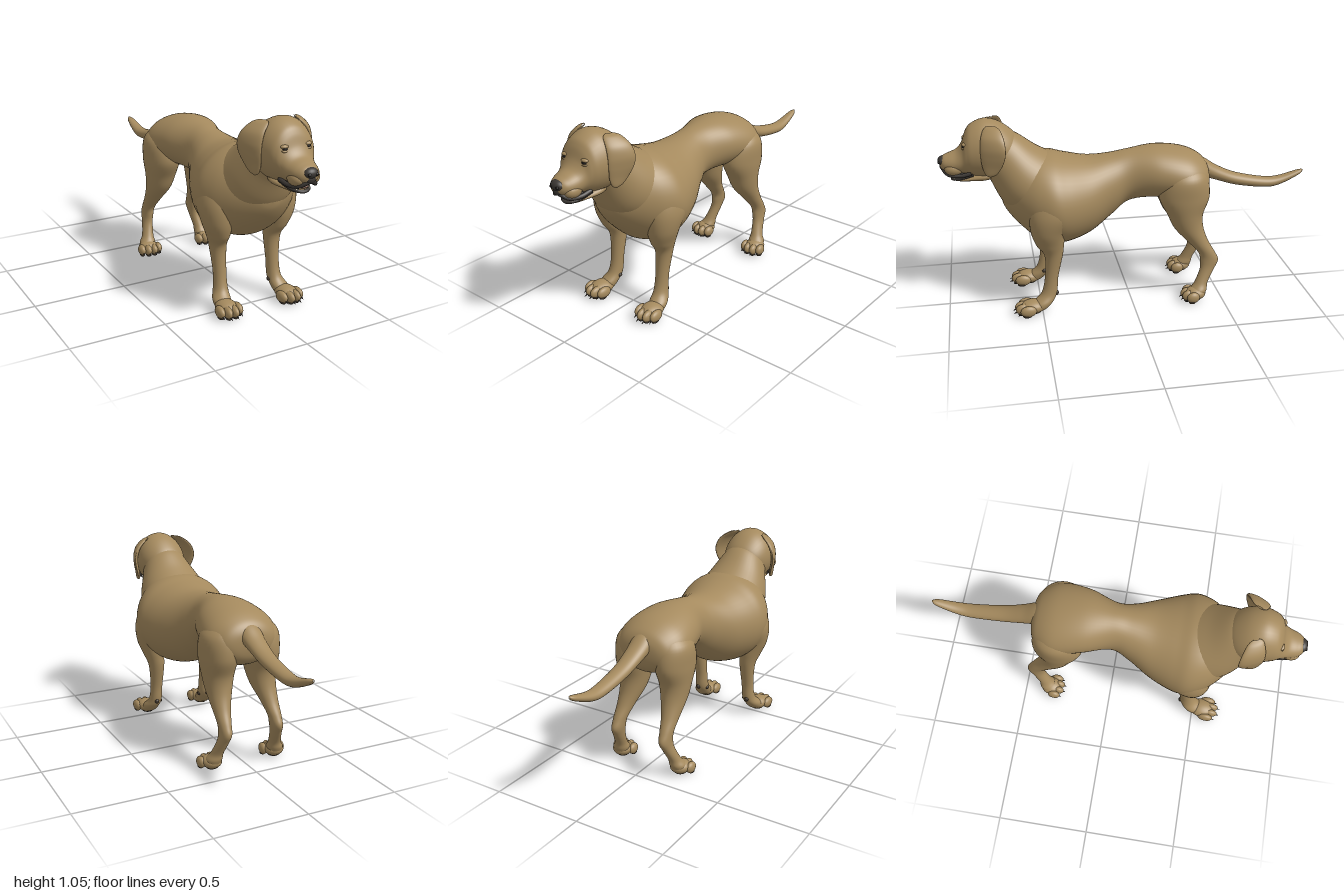
import * as THREE from 'three';

const mat = (name, color) => {
  const m = new THREE.MeshStandardMaterial({ color });
  m.name = name;
  return m;
};

// Smooth skin through elliptical sections [x, y, z, halfWidth, halfDepth, skew].
// tilt turns the depth axis from +y (0) towards +z (PI / 2).
function loft(stations, tilt = 0, sides = 36, steps = 7) {
  const pos = [], index = [], rows = (stations.length - 1) * steps;
  const at = (i, k) => stations[Math.min(Math.max(i, 0), stations.length - 1)][k] ?? 0;
  for (let r = 0; r <= rows; r++) {
    const i = Math.min(Math.floor(r / steps), stations.length - 2), t = r / steps - i;
    const [x, y, z, a, b, skew] = [0, 1, 2, 3, 4, 5].map((k) => {
      const p = at(i - 1, k), q = at(i, k), u = at(i + 1, k), v = at(i + 2, k);
      return q + 0.5 * t * (u - p + t * (2 * p - 5 * q + 4 * u - v + t * (3 * (q - u) + v - p)));
    });
    for (let j = 0; j < sides; j++) {
      const w = (j / sides) * Math.PI * 2;
      const d = Math.max(b, 0.001) * Math.sin(w);
      pos.push(x + Math.max(a, 0.001) * Math.cos(w) + skew * d, y + d * Math.cos(tilt), z + d * Math.sin(tilt));
      if (r < rows) {
        const p = r * sides + j, q = r * sides + (j + 1) % sides;
        index.push(p, q, q + sides, p, q + sides, p + sides);
      }
    }
  }
  const g = new THREE.BufferGeometry();
  g.setAttribute('position', new THREE.Float32BufferAttribute(pos, 3));
  g.setIndex(index);
  g.computeVertexNormals();
  return g;
}

// Sections given as [z, top, bottom, halfWidth]
const profile = (rows) => rows.map(([z, top, bot, w]) => [0, (top + bot) / 2, z, w, (top - bot) / 2]);
// Sections reflected to the chosen side
const sided = (rows, s) => rows.map(([x, y, z, a, b, k = 0]) => [s * x, y, z, a, b, s * k]);

export function createModel() {
  const dog = new THREE.Group();
  dog.name = 'dog';
  const fur = mat('tan fur', 0xa58a5e);
  const dark = mat('dark nose and lips', 0x3b3733);
  const claw = mat('claws and pads', 0x40362c);
  const pink = mat('tongue', 0x8c6a5c);
  const ivory = mat('teeth', 0xcfc4a8);
  const black = mat('pupils and nostrils', 0x1d1a18);

  const add = (name, geo, material, parent = dog) => {
    const m = new THREE.Mesh(geo, material);
    m.name = name;
    parent.add(m);
    return m;
  };
  const ball = (name, material, p, r, parent = dog) => {
    const m = add(name, new THREE.SphereGeometry(1, 20, 14), material, parent);
    m.position.set(...p);
    m.scale.set(...r);
    return m;
  };
  const tube = (name, points, radius, material) => add(name, new THREE.TubeGeometry(
    new THREE.CatmullRomCurve3(points.map((p) => new THREE.Vector3(...p))), 32, radius, 8), material);

  // Trunk, neck and tail
  add('torso', loft(profile([
    [-0.445, 0.70, 0.66, 0.01], [-0.43, 0.755, 0.60, 0.11], [-0.39, 0.80, 0.56, 0.165], [-0.30, 0.84, 0.54, 0.20],
    [-0.15, 0.86, 0.575, 0.175], [0, 0.845, 0.56, 0.125], [0.10, 0.828, 0.485, 0.15], [0.22, 0.82, 0.40, 0.212],
    [0.34, 0.84, 0.36, 0.262], [0.42, 0.86, 0.362, 0.276], [0.50, 0.86, 0.385, 0.25], [0.57, 0.83, 0.445, 0.20],
    [0.63, 0.78, 0.51, 0.135], [0.67, 0.71, 0.57, 0.07], [0.685, 0.66, 0.62, 0.01],
  ]), 0, 48), fur);
  add('neck', loft([
    [0, 0.66, 0.46, 0.22, 0.19], [0, 0.745, 0.58, 0.185, 0.175],
    [0, 0.85, 0.665, 0.135, 0.14], [0, 0.89, 0.72, 0.115, 0.115],
  ], -0.56, 48), fur);
  add('tail', loft([
    [0, 0.664, -1.0, 0.004, 0.003], [0, 0.65, -0.97, 0.02, 0.015], [0, 0.612, -0.86, 0.034, 0.025],
    [0, 0.608, -0.77, 0.04, 0.029], [0, 0.638, -0.61, 0.046, 0.034], [0, 0.68, -0.5, 0.053, 0.041],
    [0, 0.72, -0.42, 0.06, 0.053], [0, 0.76, -0.34, 0.06, 0.05],
  ]), fur);

  // Head and jaw
  add('head', loft(profile([
    [0.57, 0.93, 0.87, 0.02], [0.61, 0.985, 0.79, 0.10], [0.68, 1.037, 0.75, 0.135], [0.755, 1.055, 0.745, 0.138],
    [0.82, 1.03, 0.757, 0.122], [0.85, 0.993, 0.767, 0.106], [0.872, 0.935, 0.773, 0.09], [0.90, 0.90, 0.775, 0.08],
    [0.94, 0.882, 0.78, 0.068], [0.968, 0.87, 0.79, 0.052], [0.984, 0.855, 0.805, 0.03], [0.99, 0.84, 0.825, 0.004],
  ]), 0, 40), fur);
  add('lowerJaw', loft(profile([
    [0.68, 0.80, 0.74, 0.05], [0.76, 0.79, 0.728, 0.078], [0.84, 0.766, 0.727, 0.058],
    [0.90, 0.755, 0.73, 0.044], [0.925, 0.75, 0.735, 0.026], [0.932, 0.745, 0.741, 0.004],
  ])), fur);
  ball('mouthInterior', dark, [0, 0.768, 0.86], [0.055, 0.02, 0.07]);
  ball('tongue', pink, [0, 0.765, 0.895], [0.036, 0.015, 0.045]);
  tube('upperLip', [[-0.07, 0.785, 0.83], [-0.062, 0.772, 0.89], [-0.045, 0.778, 0.948], [0, 0.803, 0.976],
    [0.045, 0.778, 0.948], [0.062, 0.772, 0.89], [0.07, 0.785, 0.83]], 0.011, dark);
  tube('lowerLip', [[-0.064, 0.775, 0.82], [-0.05, 0.755, 0.88], [-0.03, 0.746, 0.92], [0, 0.742, 0.931],
    [0.03, 0.746, 0.92], [0.05, 0.755, 0.88], [0.064, 0.775, 0.82]], 0.009, dark);

  // Nose
  ball('nose', dark, [0, 0.841, 0.971], [0.039, 0.027, 0.029]);
  ball('philtrum', dark, [0, 0.814, 0.974], [0.026, 0.024, 0.018]);

  // One paw with toes, claws and pads
  function paw(name, x, z, length, s) {
    const g = new THREE.Group();
    g.name = name;
    g.position.set(s * x, 0, z);
    g.rotation.y = s * 0.06;
    g.scale.z = length;
    dog.add(g);
    ball('pawBody', fur, [0, 0.042, -0.015], [0.055, 0.037, 0.07], g);
    ball('heelPad', claw, [0, 0.015, -0.02], [0.036, 0.015, 0.04], g);
    [-0.05, -0.018, 0.018, 0.05].forEach((tx, i) => {
      const tz = i % 3 ? 0.05 : 0.028;
      ball('toe', fur, [tx, 0.037, tz - 0.012], [0.021, 0.031, 0.044], g);
      ball('toePad', claw, [tx, 0.012, tz - 0.005], [0.015, 0.012, 0.025], g);
      const c = add('claw', new THREE.ConeGeometry(0.008, 0.034, 8), claw, g);
      c.position.set(tx, 0.023, tz + 0.03);
      c.rotation.x = 2.0;
    });
  }

  for (const s of [1, -1]) {
    const side = s > 0 ? 'left' : 'right';
    // Legs
    add(side + 'FrontLeg', loft(sided([
      [0.16, 0.74, 0.42, 0.03, 0.04], [0.17, 0.68, 0.42, 0.08, 0.10], [0.187, 0.58, 0.43, 0.09, 0.12],
      [0.182, 0.48, 0.455, 0.08, 0.092], [0.172, 0.40, 0.447, 0.059, 0.074], [0.163, 0.33, 0.43, 0.045, 0.049],
      [0.16, 0.20, 0.445, 0.035, 0.036], [0.163, 0.11, 0.46, 0.037, 0.042], [0.176, 0.06, 0.497, 0.046, 0.052],
      [0.18, 0.025, 0.52, 0.035, 0.036], [0.18, 0.02, 0.52, 0.002, 0.002],
    ], s), Math.PI / 2), fur);
    paw(side + 'FrontPaw', 0.182, 0.567, 1, s);
    ball('wristPad', claw, [s * 0.168, 0.105, 0.421], [0.013, 0.014, 0.011]);
    ball('dewClaw', claw, [s * 0.128, 0.092, 0.463], [0.008, 0.011, 0.013]);
    add(side + 'HindLeg', loft(sided([
      [0.09, 0.78, -0.30, 0.05, 0.06], [0.105, 0.71, -0.295, 0.105, 0.12], [0.12, 0.60, -0.29, 0.097, 0.138],
      [0.125, 0.50, -0.296, 0.083, 0.098], [0.13, 0.42, -0.317, 0.068, 0.08], [0.14, 0.34, -0.367, 0.048, 0.057],
      [0.147, 0.27, -0.417, 0.035, 0.046], [0.15, 0.22, -0.433, 0.031, 0.051], [0.157, 0.17, -0.42, 0.029, 0.04],
      [0.172, 0.10, -0.386, 0.033, 0.036], [0.183, 0.06, -0.367, 0.045, 0.047],
      [0.185, 0.025, -0.36, 0.034, 0.034], [0.185, 0.02, -0.36, 0.002, 0.002],
    ], s), Math.PI / 2), fur);
    paw(side + 'HindPaw', 0.187, -0.338, 0.82, s);

    // Drooping ears
    add(side + 'Ear', loft(sided([
      [0.085, 1.04, 0.715, 0.004, 0.015, -0.4], [0.105, 1.028, 0.715, 0.018, 0.04, -0.4],
      [0.143, 0.99, 0.715, 0.02, 0.057, -0.4], [0.162, 0.94, 0.715, 0.017, 0.063, -0.42],
      [0.162, 0.89, 0.718, 0.014, 0.06, -0.4], [0.152, 0.84, 0.725, 0.013, 0.048, -0.35],
      [0.145, 0.80, 0.732, 0.011, 0.028, -0.25], [0.143, 0.786, 0.735, 0.002, 0.004],
    ], s), Math.PI / 2, 28), fur);

    // Eyes with lids, nostrils, cheek flews and teeth
    ball(side + 'Eye', black, [s * 0.064, 0.932, 0.857], [0.014, 0.011, 0.013]);
    ball(side + 'UpperLid', fur, [s * 0.064, 0.942, 0.854], [0.021, 0.01, 0.016]);
    ball(side + 'LowerLid', fur, [s * 0.064, 0.922, 0.857], [0.019, 0.008, 0.014]);
    ball(side + 'Nostril', black, [s * 0.019, 0.838, 0.993], [0.01, 0.008, 0.007]);
    ball(side + 'Flew', fur, [s * 0.042, 0.808, 0.918], [0.037, 0.036, 0.05]);
    const tooth = add(side + 'Tooth', new THREE.ConeGeometry(0.006, 0.026, 8), ivory);
    tooth.position.set(s * 0.034, 0.763, 0.918);
  }
  return dog;
}
